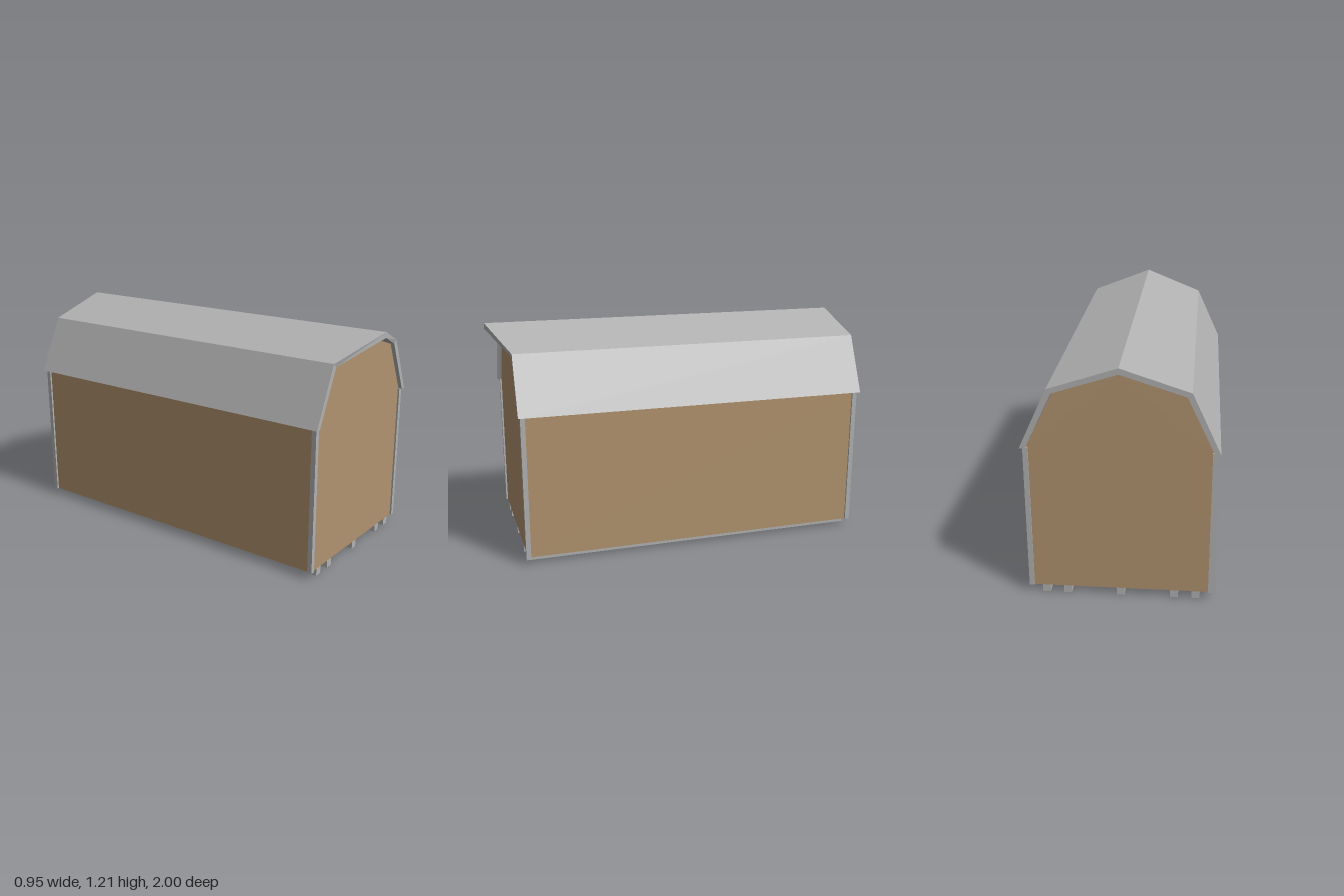
import * as THREE from 'three';

export function createModel() {
  const group = new THREE.Group();
  const trim = new THREE.MeshStandardMaterial({ color: 0xb2b2b2 });
  trim.name = 'greyTrim';
  const siding = new THREE.MeshStandardMaterial({ color: 0xb2936f, side: THREE.DoubleSide });
  siding.name = 'tanSiding';

  const add = (name, geometry, material) => {
    const mesh = new THREE.Mesh(geometry, material);
    mesh.name = name;
    group.add(mesh);
    return mesh;
  };
  const box = (name, w, h, d, x, y, z) =>
    add(name, new THREE.BoxGeometry(w, h, d), trim).position.set(x, y, z);
  const shapeOf = (pts) => new THREE.Shape(pts.map(([x, y]) => new THREE.Vector2(x, y)));
  const mirror = (pts) => pts.map(([x, y]) => [-x, y]).reverse();

  // Hollow body, open underneath: gambrel section from left foot to right foot
  const front = 0.88, back = -0.978;
  const half = [[0.45, 0.04], [0.45, 0.8], [0.442, 0.803], [0.309, 1.078]];
  const section = [...half, [0, 1.178], ...mirror(half)];

  const panel = (name, [ax, ay], [bx, by]) => {
    const geometry = new THREE.BufferGeometry();
    geometry.setAttribute('position', new THREE.Float32BufferAttribute([
      ax, ay, front, ax, ay, back, bx, by, back,
      ax, ay, front, bx, by, back, bx, by, front], 3));
    geometry.computeVertexNormals();
    add(name, geometry, siding);
  };
  for (let i = 0; i < section.length - 1; i++) {
    const isWall = i === 0 || i === section.length - 2;
    panel(isWall ? 'sideWall' : 'ceilingPanel', section[i], section[i + 1]);
  }

  // End walls
  add('frontWall', new THREE.ShapeGeometry(shapeOf(section)), siding).position.z = front;
  const backWall = add('backWall', new THREE.ShapeGeometry(shapeOf(section)), siding);
  backWall.rotation.y = Math.PI;
  backWall.position.z = back;

  // Gambrel roof slab, with the ridge drawn forward into a pointed overhang
  const outer = [[0.473, 0.8], [0.335, 1.1]];
  const inner = [[0.445, 0.8], [0.312, 1.08]];
  const roofShape = shapeOf([
    ...outer, [0, 1.21], ...mirror(outer),
    ...mirror(inner).reverse(), [0, 1.18], ...inner.slice().reverse()]);
  const roof = new THREE.ExtrudeGeometry(roofShape, { depth: 1.9, bevelEnabled: false });
  roof.translate(0, 0, -1);
  const p = roof.attributes.position;
  for (let i = 0; i < p.count; i++) {
    if (Math.abs(p.getX(i)) < 0.001 && p.getZ(i) > 0) p.setZ(i, 1);
  }
  roof.computeVertexNormals();
  add('roof', roof, trim);

  // Corner trim posts
  for (const side of [-1, 1]) {
    for (const z of [0.877, -0.973]) box('cornerPost', 0.025, 0.76, 0.025, side * 0.4475, 0.42, z);
  }

  // Floor skids
  for (const x of [-0.375, -0.267, 0, 0.267, 0.375]) {
    box('skid', 0.04, 0.04, 1.858, x, 0.02, -0.049);
  }
  return group;
}
